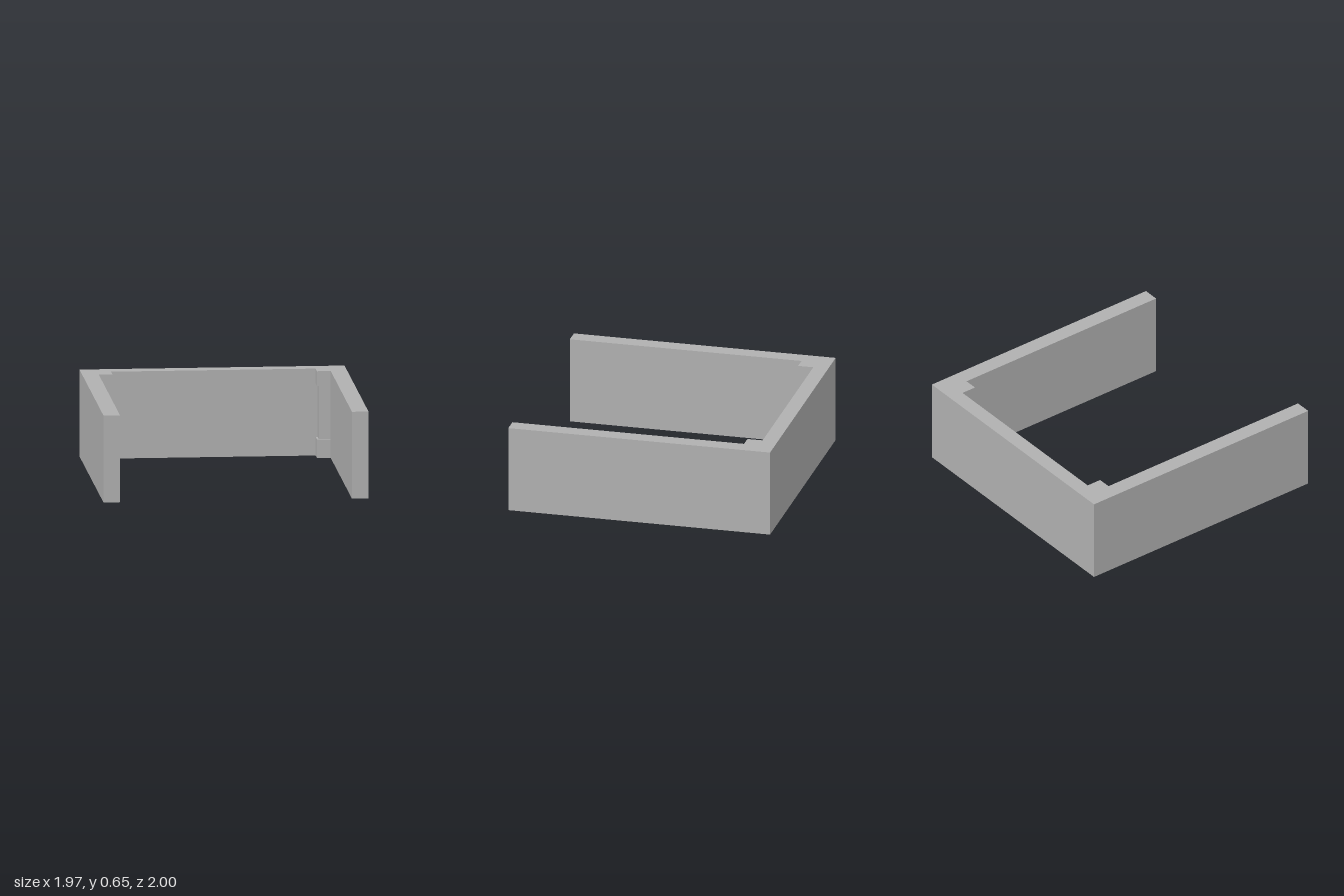
import * as THREE from 'three';

const grey = new THREE.MeshStandardMaterial({ color: 0xb0b0b0, side: THREE.DoubleSide });
grey.name = 'plainGrey';

// Plan points are [x, depth], with depth = -z (back is +1).
const HEIGHT = 0.653, BASE_TOP = 0.14, CAP_BOTTOM = 0.542;
const OUTER_X = 0.985, INNER_X = 0.862, INNER_BACK = 0.886;
const BLOCK = { x: 0.76, d: 0.77 };
const SHAFT = { x: 0.775, d: 0.785 };

const outerPath = [[INNER_X, -1], [OUTER_X, -1], [OUTER_X, 1], [-OUTER_X, 1], [-OUTER_X, -1], [-INNER_X, -1]];

// Inner face of the U, stepping out around a corner post on each side
function innerPath(post) {
  const half = [[INNER_X, -1], [INNER_X, post.d], [post.x, post.d], [post.x, INNER_BACK]];
  return [...half.map(([x, d]) => [-x, d]), ...half.reverse()];
}

// Upright faces along an open plan path
function walls(name, path, y0, y1) {
  const pos = [];
  for (let i = 0; i + 1 < path.length; i++) {
    const [ax, ad] = path[i], [bx, bd] = path[i + 1];
    const a0 = [ax, y0, -ad], b0 = [bx, y0, -bd], a1 = [ax, y1, -ad], b1 = [bx, y1, -bd];
    pos.push(...a0, ...b0, ...b1, ...a0, ...b1, ...a1);
  }
  const geo = new THREE.BufferGeometry();
  geo.setAttribute('position', new THREE.Float32BufferAttribute(pos, 3));
  geo.computeVertexNormals();
  const mesh = new THREE.Mesh(geo, grey);
  mesh.name = name;
  return mesh;
}

// Level face filling a plan outline
function level(name, path, y) {
  const shape = new THREE.Shape(path.map(([x, d]) => new THREE.Vector2(x, d)));
  const geo = new THREE.ShapeGeometry(shape).rotateX(-Math.PI / 2).translate(0, y, 0);
  const mesh = new THREE.Mesh(geo, grey);
  mesh.name = name;
  return mesh;
}

export function createModel() {
  const group = new THREE.Group();
  group.name = 'threeSidedWall';

  // Hollow wall shell, open underneath
  group.add(walls('outerWalls', outerPath, 0, HEIGHT));
  group.add(walls('innerWallsAndPostBases', innerPath(BLOCK), 0, BASE_TOP));
  group.add(walls('innerWallsAndPostShafts', innerPath(SHAFT), BASE_TOP, CAP_BOTTOM));
  group.add(walls('innerWallsAndPostCaps', innerPath(BLOCK), CAP_BOTTOM, HEIGHT));
  group.add(level('wallTop', [...outerPath, ...innerPath(BLOCK).slice(1, -1)], HEIGHT));

  // Narrow ledges where each post steps in and out
  const ledge = [[INNER_X, BLOCK.d], [INNER_X, SHAFT.d], [SHAFT.x, SHAFT.d],
    [SHAFT.x, INNER_BACK], [BLOCK.x, INNER_BACK], [BLOCK.x, BLOCK.d]];
  for (const [side, s] of [['left', 1], ['right', -1]]) {
    const path = ledge.map(([x, d]) => [s * x, d]);
    group.add(level(side + 'BaseLedge', path, BASE_TOP));
    group.add(level(side + 'CapLedge', path, CAP_BOTTOM));
  }
  return group;
}
